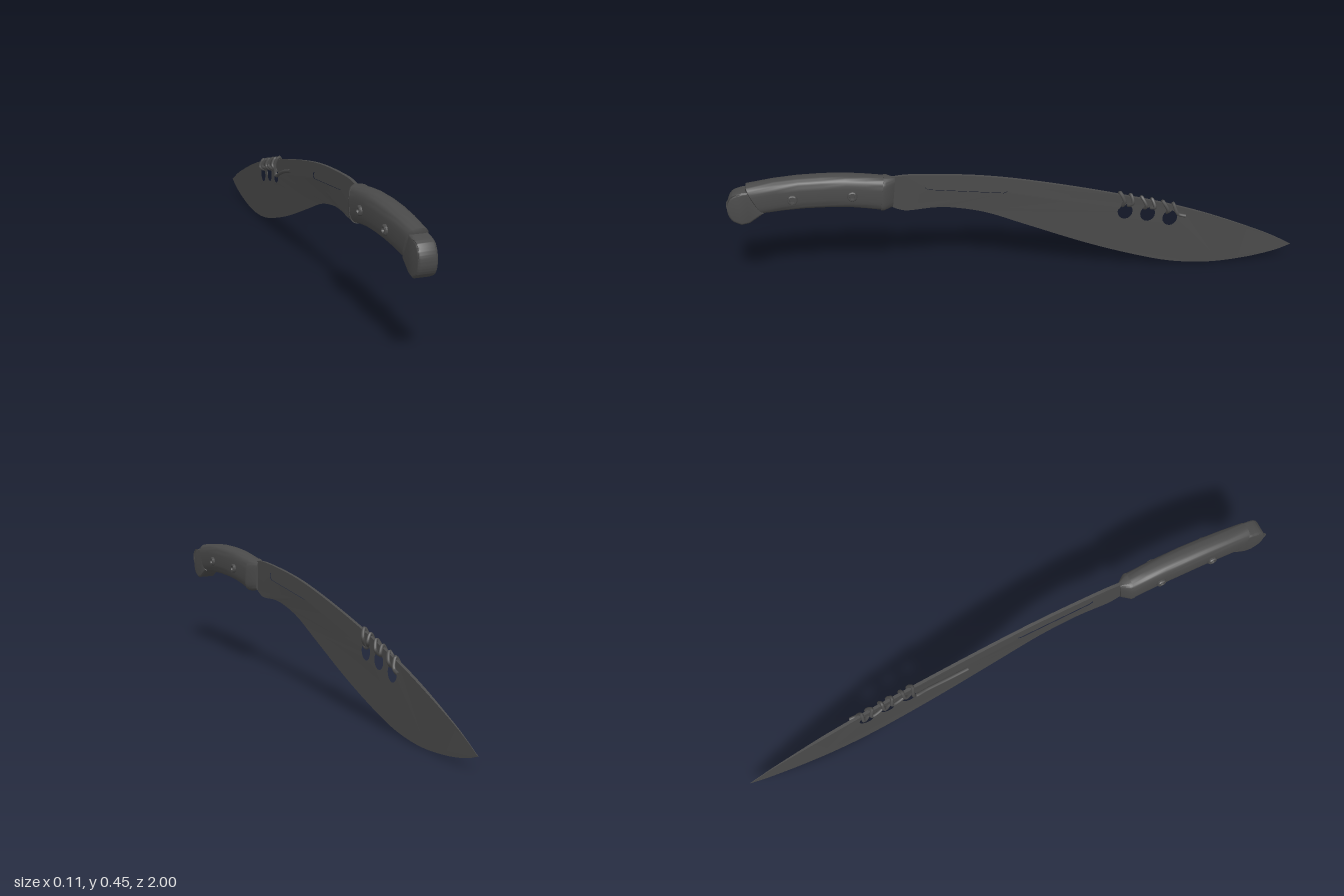
import * as THREE from 'three';
import { toCreasedNormals } from 'three/addons/utils/BufferGeometryUtils.js';

// Parts are laid out in a side plane: x runs from pommel (-1) to tip (+1),
// y is up and z is the thickness. The whole knife is turned at the end.
const steel = new THREE.MeshStandardMaterial({ color: 0x4a4a4a });
steel.name = 'dark steel';

const vecs = (pts) => pts.map(([x, y]) => new THREE.Vector2(x, y));

const SPINE = [[-0.45, 0.424], [-0.36, 0.428], [-0.14, 0.409], [0.07, 0.371], [0.34, 0.306],
  [0.61, 0.226], [0.875, 0.118], [0.999, 0.052]];
const EDGE = [[0.93, 0.028], [0.82, 0.008], [0.69, 0], [0.555, 0.014], [0.42, 0.05], [0.235, 0.115],
  [0.02, 0.205], [-0.115, 0.262], [-0.22, 0.289], [-0.3, 0.297], [-0.4, 0.292], [-0.45, 0.31]];
const HOLES = [[0.372, 0.236], [0.454, 0.221], [0.536, 0.198]];
const SLOT = [[-0.33, 0.394], [-0.07, 0.365], [-0.05, 0.357], [-0.047, 0.343], [-0.06, 0.338],
  [-0.32, 0.369], [-0.333, 0.378]];

function spineY(x) {
  let i = 0;
  while (i < SPINE.length - 2 && x > SPINE[i + 1][0]) i++;
  const [a, b] = [SPINE[i], SPINE[i + 1]];
  return a[1] + ((x - a[0]) / (b[0] - a[0])) * (b[1] - a[1]);
}

function extrude(shape, depth, options = {}) {
  const geo = new THREE.ExtrudeGeometry(shape, { depth, bevelEnabled: false, curveSegments: 8, ...options });
  geo.translate(0, 0, -depth / 2);
  return geo;
}

// Closed loft; station = [xTop, xBottom, top, bottom, halfWidth]
function loft(stations, sides, power) {
  const pos = [], index = [], n = sides;
  const signed = (v) => Math.sign(v) * Math.abs(v) ** power;
  for (const [xt, xb, top, bottom, half] of stations) {
    for (let j = 0; j < n; j++) {
      const a = (j / n) * Math.PI * 2;
      const t = (signed(Math.cos(a)) + 1) / 2;
      pos.push(xb + (xt - xb) * t, bottom + (top - bottom) * t, half * signed(Math.sin(a)));
    }
  }
  const last = stations.length - 1;
  for (const k of [0, last]) {
    const [xt, xb, top, bottom] = stations[k];
    pos.push((xt + xb) / 2, (top + bottom) / 2, 0);
  }
  const c0 = (last + 1) * n;
  for (let j = 0; j < n; j++) {
    const k = (j + 1) % n;
    for (let i = 0; i < last; i++) {
      const a = i * n + j, b = i * n + k;
      index.push(a, b, a + n, b, b + n, a + n);
    }
    index.push(c0, k, j, c0 + 1, last * n + j, last * n + k);
  }
  const geo = new THREE.BufferGeometry();
  geo.setAttribute('position', new THREE.Float32BufferAttribute(pos, 3));
  geo.setIndex(index);
  geo.computeVertexNormals();
  return toCreasedNormals(geo, 0.7);
}

function bladeGeometry() {
  const shape = new THREE.Shape();
  shape.moveTo(...SPINE[0]);
  shape.splineThru(vecs(SPINE.slice(1)));
  shape.splineThru(vecs(EDGE));
  for (const [x, y] of HOLES) {
    shape.holes.push(new THREE.Path().absellipse(x, y, 0.027, 0.03, 0, Math.PI * 2, true));
  }
  shape.holes.push(new THREE.Path(vecs(SLOT)));
  const geo = extrude(shape, 0.011);
  // Thin the cutting edge and the tip
  const p = geo.attributes.position;
  for (let i = 0; i < p.count; i++) {
    const x = p.getX(i), y = p.getY(i);
    const onEdge = spineY(x) - y > 0.1 || (x > 0.85 && spineY(x) - y > 0.015);
    const f = onEdge ? 0.15 : THREE.MathUtils.clamp((1 - x) / 0.3, 0.15, 1);
    p.setZ(i, p.getZ(i) * f);
  }
  geo.computeVertexNormals();
  return toCreasedNormals(geo, 0.4);
}

// Wire: loose tail, turns over the spine and through the holes, short end
function wireGeometry() {
  const pts = [[0.15, 0.312, -0.022], [0.22, 0.292, -0.02], [0.3, 0.262, -0.014], [0.35, 0.242, -0.012]];
  const turns = 6;
  for (let i = 0; i < turns; i++) {
    const [hx, hy] = HOLES[Math.floor(i / 2)];
    const bx = hx + (i % 2 ? 0.012 : -0.01);
    const top = 0.352 + i * 0.039;
    const mid = (bx + top) / 2;
    pts.push([mid, spineY(mid) - 0.02, -0.014]);
    pts.push([top, spineY(top) + 0.008, 0]);
    pts.push([mid + 0.01, spineY(mid) - 0.02, 0.014]);
    if (i < turns - 1) pts.push([bx, hy + 0.02, 0]);
  }
  pts.push([0.565, 0.215, 0.015], [0.59, 0.208, 0.017]);
  const curve = new THREE.CatmullRomCurve3(pts.map((p) => new THREE.Vector3(...p)));
  return new THREE.TubeGeometry(curve, 200, 0.0065, 8);
}

function pommelGeometry() {
  const shape = new THREE.Shape();
  shape.moveTo(-0.925, 0.412);
  shape.lineTo(-0.945, 0.411);
  shape.splineThru(vecs([[-0.98, 0.399], [-0.998, 0.37], [-1, 0.335], [-0.987, 0.306], [-0.958, 0.289]]));
  shape.lineTo(-0.93, 0.294);
  shape.lineTo(-0.88, 0.328);
  shape.holes.push(new THREE.Path().absarc(-0.964, 0.368, 0.03, 0, Math.PI * 2, true));
  const geo = extrude(shape, 0.046, {
    bevelEnabled: true, bevelThickness: 0.008, bevelSize: 0.008, bevelOffset: -0.008, bevelSegments: 3,
  });
  return toCreasedNormals(geo, 0.6);
}

export function createModel() {
  const model = new THREE.Group();
  model.name = 'machete';
  const knife = new THREE.Group();
  knife.name = 'knife';
  const add = (name, geo) => {
    const mesh = new THREE.Mesh(geo, steel);
    mesh.name = name;
    knife.add(mesh);
    return mesh;
  };

  add('blade', bladeGeometry());
  add('recessedPanel', extrude(new THREE.Shape(vecs(SLOT)), 0.005));
  add('wireWrap', wireGeometry());

  // Curved grip with a slanted rear end
  add('grip', loft([
    [-0.935, -0.89, 0.415, 0.328, 0.03],
    [-0.933, -0.885, 0.428, 0.323, 0.036],
    [-0.84, -0.81, 0.441, 0.33, 0.038],
    [-0.76, -0.74, 0.447, 0.333, 0.039],
    [-0.68, -0.66, 0.448, 0.332, 0.04],
    [-0.6, -0.59, 0.445, 0.327, 0.039],
    [-0.53, -0.535, 0.437, 0.318, 0.038],
    [-0.47, -0.485, 0.428, 0.308, 0.037],
  ], 32, 0.65));

  // Bolster narrowing towards the blade
  add('bolster', loft([
    [-0.472, -0.487, 0.43, 0.306, 0.038],
    [-0.462, -0.475, 0.429, 0.306, 0.037],
    [-0.432, -0.445, 0.422, 0.311, 0.011],
  ], 32, 0.6));

  add('pommel', pommelGeometry());

  // Hollow rivets on both sides
  const rivet = toCreasedNormals(new THREE.LatheGeometry(vecs([
    [0.017, 0.03], [0.017, 0.044], [0.014, 0.048], [0.009, 0.048], [0.008, 0.041], [0, 0.041],
  ]), 20), 0.6);
  for (const x of [-0.78, -0.58]) {
    for (const side of [1, -1]) {
      const mesh = add('rivet', rivet);
      mesh.position.set(x, 0.38, 0);
      mesh.rotation.x = side * Math.PI / 2;
    }
  }

  // Turn the tip to the back with a slight yaw
  knife.rotation.y = Math.PI / 2 - 0.0275;
  knife.position.x = 0.0125;
  model.add(knife);
  return model;
}
